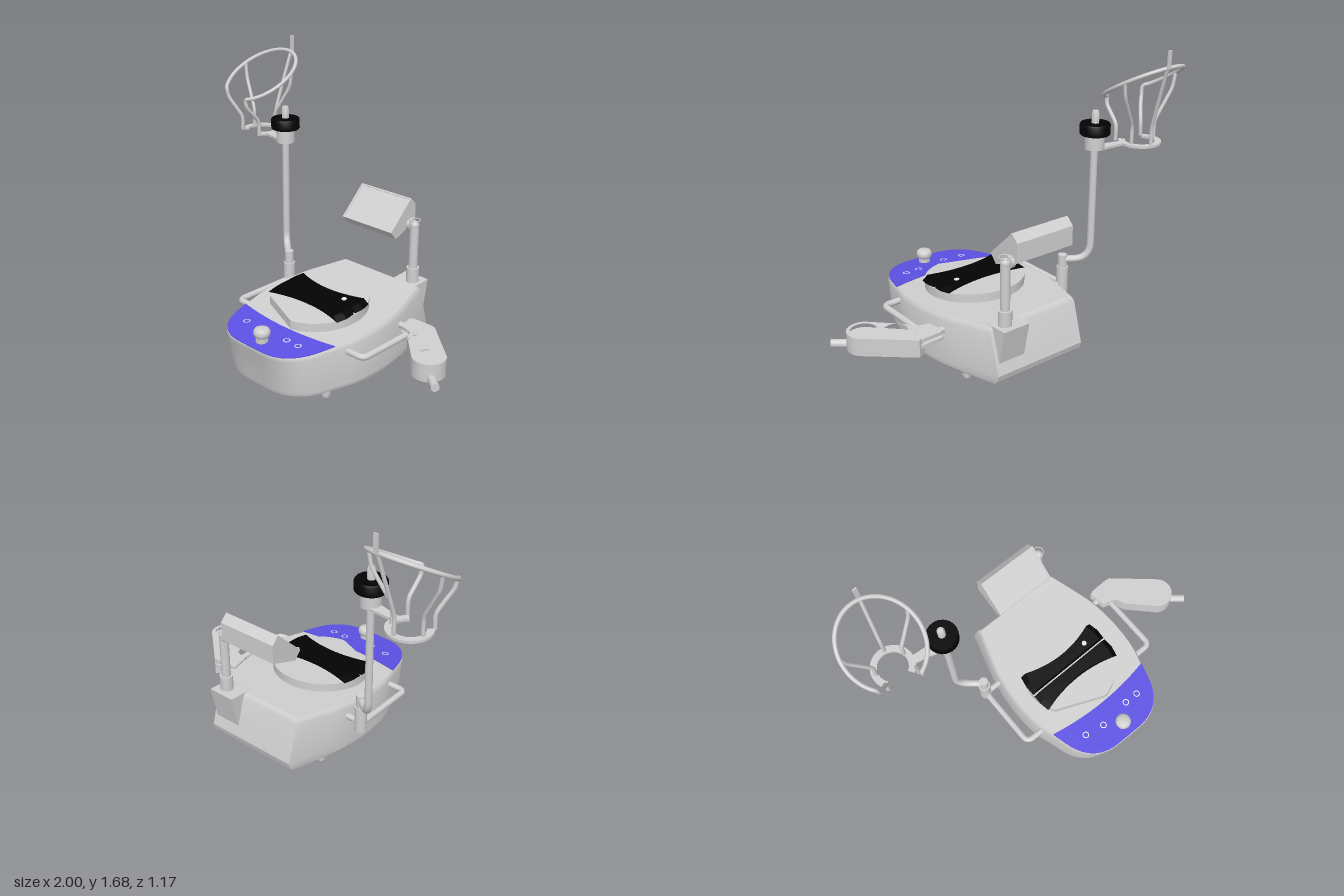
import * as THREE from 'three';
import { toCreasedNormals } from 'three/addons/utils/BufferGeometryUtils.js';

const mat = (name, color) => Object.assign(new THREE.MeshStandardMaterial({ color }), { name });
const V = (x, y, z) => new THREE.Vector3(x, y, z);
const CX = 0.11; // centre line of the body
const deckY = z => 0.354 - 0.075 * z; // sloping top deck

export function createModel() {
  const grey = mat('satin grey', 0xd0d0d0);
  const black = mat('rubber black', 0x030303);
  const purple = mat('panel purple', 0x5c51e4);
  const pale = mat('indicator white', 0xffffff);
  const root = new THREE.Group();
  root.name = 'balanceTrainer';

  const add = (name, geo, m = grey, parent = root) => {
    const mesh = new THREE.Mesh(geo, m);
    mesh.name = name;
    parent.add(mesh);
    return mesh;
  };
  const group = name => {
    const g = new THREE.Group();
    g.name = name;
    root.add(g);
    return g;
  };
  const cyl = (r, y0, y1, x, z) =>
    new THREE.CylinderGeometry(r, r, y1 - y0, 28).translate(x, (y0 + y1) / 2, z);
  const lathe = (profile, x, y, z) => toCreasedNormals(new THREE.LatheGeometry(
    profile.map(p => new THREE.Vector2(p[0], p[1])), 28), 0.7).translate(x, y, z);
  // Plate from an [x, z] outline, standing on height y
  const slab = (pts, y, h, holes = []) => {
    const s = new THREE.Shape(pts.map(p => new THREE.Vector2(p[0], -p[1])));
    for (const [x, z, r] of holes) s.holes.push(new THREE.Path().absarc(x, -z, r, 0, Math.PI * 2, true));
    const g = new THREE.ExtrudeGeometry(s, { depth: h, bevelEnabled: false, curveSegments: 24 });
    return toCreasedNormals(g.rotateX(-Math.PI / 2).translate(0, y, 0), 0.5);
  };
  // Shear a flat part so that it lies on the sloping deck
  const onDeck = g => {
    g.applyMatrix4(new THREE.Matrix4().set(1, 0, 0, 0, 0, 1, -0.075, 0.354, 0, 0, 1, 0, 0, 0, 0, 1));
    return g;
  };
  const arc = (cx, cz, r, a, b, n = 40) => Array.from({ length: n + 1 }, (_, i) => {
    const t = a + (b - a) * i / n;
    return [cx + r * Math.cos(t), cz + r * Math.sin(t)];
  });
  // Tube along straight runs with rounded corners
  const pipe = (pts, r, bend, seg = 48) => {
    const path = new THREE.CurvePath();
    let from = pts[0];
    for (let i = 1; i < pts.length - 1; i++) {
      const p = pts[i];
      const a = p.clone().add(pts[i - 1].clone().sub(p).setLength(bend));
      const b = p.clone().add(pts[i + 1].clone().sub(p).setLength(bend));
      path.add(new THREE.LineCurve3(from, a));
      path.add(new THREE.QuadraticBezierCurve3(a, p, b));
      from = b;
    }
    path.add(new THREE.LineCurve3(from, pts[pts.length - 1]));
    return new THREE.TubeGeometry(path, seg, r, 12);
  };

  // Body: one plan outline lofted through levels with leaning front and back
  const half = new THREE.CatmullRomCurve3([
    [0.29, -0.56], [0.335, -0.4], [0.38, -0.22], [0.4, 0], [0.387, 0.18], [0.355, 0.3],
    [0.305, 0.455], [0.24, 0.535], [0.15, 0.577], [0, 0.585]].map(p => V(p[0], 0, p[1]))).getPoints(36);
  const outline = [...half.map(p => [p.x, p.z]), ...half.slice(0, -1).reverse().map(p => [-p.x, p.z])];
  const N = outline.length;
  const levels = [ // front z, back z, height share, inset
    [0.535, 0.5, 0, 0.004], [0.537, 0.53, 0.03, 0], [0.54, 0.552, 0.09, 0], [0.545, 0.562, 0.2, 0],
    [0.58, 0.497, 0.9, 0], [0.585, 0.487, 0.96, 0.006], [0.585, 0.475, 1, 0.014]];
  const pos = [], idx = [];
  for (const [f, b, t, inset] of levels) for (const [x, z] of outline) {
    const zz = z > 0 ? z / 0.585 * f : z / 0.56 * b;
    pos.push(CX + x * (1 - inset / 0.4), 0.07 + (deckY(zz) - 0.07) * t, zz);
  }
  for (let k = 0; k < levels.length - 1; k++) for (let i = 0; i < N; i++) {
    const a = k * N + i, b = k * N + (i + 1) % N;
    idx.push(a, a + N, b, b, a + N, b + N);
  }
  const topStart = (levels.length - 1) * N, low = pos.length / 3;
  pos.push(CX, 0.07, 0, CX, deckY(0), 0);
  for (let i = 0; i < N; i++) {
    const j = (i + 1) % N;
    idx.push(low, i, j, low + 1, topStart + j, topStart + i);
  }
  const body = new THREE.BufferGeometry();
  body.setAttribute('position', new THREE.Float32BufferAttribute(pos, 3));
  body.setIndex(idx);
  add('body', toCreasedNormals(body, 0.5));

  // Feet
  for (const x of [-0.19, 0.41]) for (const z of [0.31, -0.305])
    add('foot', lathe([[0, 0], [0.012, 0.003], [0.022, 0.014], [0.025, 0.03], [0.025, 0.08]], x, 0.003, z));

  // Control panel, indicators and knob
  const panelFront = outline.filter(p => p[1] > 0.295).map(p => [CX + p[0] * 0.98, p[1] * 0.993]);
  const panelBack = new THREE.QuadraticBezierCurve(new THREE.Vector2(-0.237, 0.295),
    new THREE.Vector2(CX, 0.365), new THREE.Vector2(0.457, 0.295)).getPoints(20).map(p => [p.x, p.y]);
  add('controlPanel', onDeck(slab([...panelFront, ...panelBack], 0, 0.005)), purple);
  for (const [x, z] of [[-0.09, 0.42], [0.03, 0.44], [0.225, 0.42], [0.31, 0.42]])
    add('indicatorRing', onDeck(new THREE.RingGeometry(0.014, 0.02, 28)
      .rotateX(-Math.PI / 2).translate(x, 0.0075, z)), pale);
  add('controlKnob', lathe([[0.034, 0], [0.034, 0.035], [0.043, 0.043], [0.046, 0.055], [0.045, 0.07], [0.038, 0.081],
    [0.025, 0.086], [0, 0.088]], 0.125, 0.313, 0.505));

  // Turntable with its cut edge
  add('turntable', onDeck(slab(arc(0.095, 0.04, 0.283, 2.544, 1.372 + Math.PI * 2, 64), 0, 0.05)));

  // Waisted foot pads with sloping ends
  const pad = (outer, waist, inner) => {
    const edge = new THREE.QuadraticBezierCurve(new THREE.Vector2(-0.175, outer),
      new THREE.Vector2(0.095, waist), new THREE.Vector2(0.36, outer)).getPoints(16).map(p => [p.x, p.y]);
    const mid = (outer + inner) / 2;
    const g = slab([...edge, [0.374, mid], [0.37, inner], [-0.186, inner + 0.008], [-0.186, mid]], 0.05, 0.027);
    const p = g.attributes.position;
    for (let i = 0; i < p.count; i++) if (p.getY(i) > 0.06) {
      p.setX(i, 0.095 + (p.getX(i) - 0.095) * 0.88);
      p.setZ(i, mid + (p.getZ(i) - mid) * 0.93);
    }
    g.computeVertexNormals();
    return onDeck(g);
  };
  add('rearFootPad', pad(-0.08, 0.015, 0.04), black);
  add('frontFootPad', pad(0.175, 0.085, 0.051), black);
  add('padButton', onDeck(cyl(0.015, 0.07, 0.081, 0.25, 0.0)), pale);

  // Side handles
  for (const [inX, outX, z0] of [[-0.26, -0.375, -0.175], [0.46, 0.592, -0.2]])
    add('sideHandle', pipe([V(inX, 0.287, z0), V(outX, 0.287, z0), V(outX, 0.287, 0.222), V(inX, 0.287, 0.222)], 0.018, 0.04));

  // Cup tray with two recesses
  const tray = group('cupTray');
  const end = arc(0.85, 0.005, 0.092, -0.927, 2.214, 24);
  const trayShape = [[0.63, -0.235], [0.68, -0.265], ...end, [0.647, -0.07], [0.62, -0.13]];
  add('trayRim', slab(trayShape, 0.285, 0.032, [[0.85, 0.005, 0.072], [0.715, -0.095, 0.064]]), grey, tray);
  add('trayBody', slab(trayShape, 0.215, 0.07), grey, tray);
  const clampShape = [[0.52, -0.25], [0.545, -0.262], [0.67, -0.266], [0.645, -0.13], [0.62, -0.125], [0.54, -0.15]];
  for (const y of [0.262, 0.298]) add('trayClamp', slab(clampShape, y, 0.02), grey, tray);
  const grip = add('trayGrip', new THREE.CylinderGeometry(0.023, 0.023, 0.14, 20), grey, tray);
  grip.position.set(0.93, 0.235, 0.075);
  grip.quaternion.setFromUnitVectors(V(0, 1, 0), V(0.77, 0, 0.64).normalize());

  // Tall left post
  const post = group('basketPost');
  add('postClamp', cyl(0.034, 0.245, 0.4, -0.372, -0.185), grey, post);
  add('postSocket', cyl(0.026, 0.4, 0.475, -0.372, -0.185), grey, post);
  add('postTube', pipe([V(-0.372, 0.445, -0.185), V(-0.495, 0.45, -0.283), V(-0.495, 1.15, -0.283)], 0.021, 0.1), grey, post);
  add('postCollar', cyl(0.055, 1.118, 1.2, -0.495, -0.283), grey, post);
  add('clampKnob', lathe([[0, 0], [0.08, 0], [0.085, 0.006], [0.085, 0.058], [0.08, 0.065], [0, 0.065]], -0.495, 1.2, -0.283), black, post);
  add('postTip', lathe([[0.021, 0], [0.021, 0.06], [0.015, 0.073], [0, 0.078]], -0.495, 1.262, -0.283), grey, post);

  // Wire basket: open base ring, slanting hoop and bent wires
  const basket = group('wireBasket');
  const bx = -0.778, bz = -0.355, full = Math.PI * 2;
  add('basketBase', slab([...arc(bx, bz, 0.12, 2.5, full + 0.95), ...arc(bx, bz, 0.083, full + 0.95, 2.5)], 1.115, 0.014), grey, basket);
  add('basketArm', slab([[-0.69, -0.37], [-0.66, -0.34], [-0.52, -0.33], [-0.5, -0.25], [-0.6, -0.28], [-0.69, -0.3]], 1.115, 0.014), grey, basket);
  const hoopY = z => 1.59 + 0.56 * (-0.575 - z);
  const hoop = arc(bx, bz, 0.212, 2.4, full + 1.2, 30).map(([x, z]) => V(x, hoopY(z), z));
  const hoopLine = new THREE.CatmullRomCurve3([
    V(-0.868, 1.12, -0.275), V(-0.868, 1.2, -0.272), V(-0.89, 1.26, -0.245), V(-0.922, 1.33, -0.215), ...hoop,
    V(-0.7, 1.31, -0.163), V(-0.697, 1.265, -0.2), V(-0.693, 1.21, -0.245), V(-0.692, 1.12, -0.25)]);
  add('hoop', new THREE.TubeGeometry(hoopLine, 140, 0.0115, 10), grey, basket);
  for (const [tx, tz, fx, fz, k] of [[-0.978, -0.41, -0.868, -0.375, 0.12],
    [-0.732, -0.565, -0.76, -0.455, 0.5], [-0.573, -0.415, -0.69, -0.375, 0.12]]) {
    const knee = V(tx + (fx - tx) * k, 1.41, tz + (fz - tz) * k);
    add('basketWire', pipe([V(tx, hoopY(tz), tz), knee, V(fx, 1.23, fz), V(fx, 1.12, fz)], 0.0105, 0.03, 32), grey, basket);
  }
  add('basketTip', new THREE.BoxGeometry(0.025, 0.1, 0.008).translate(-0.732, 1.632, -0.574), grey, basket);

  // Display bracket flaring out of the back
  const prism = (profile, x0, w) => { // profile as [z, y], extruded along x
    const s = new THREE.Shape(profile.map(p => new THREE.Vector2(-p[0], p[1])));
    return new THREE.ExtrudeGeometry(s, { depth: w, bevelEnabled: false }).rotateY(Math.PI / 2).translate(x0, 0, 0);
  };
  add('displayBracket', prism([[-0.43, 0.38], [-0.45, 0.39], [-0.585, 0.397], [-0.545, 0.2], [-0.45, 0.2]], 0.215, 0.165));
  add('displaySocket', cyl(0.037, 0.385, 0.48, 0.32, -0.515));
  add('displayPost', cyl(0.026, 0.48, 0.745, 0.32, -0.515));
  add('displayJoint', new THREE.SphereGeometry(0.027, 24, 16).translate(0.32, 0.742, -0.515));
  add('displayCap', new THREE.TorusGeometry(0.032, 0.003, 6, 28).rotateX(Math.PI / 2).translate(0.32, 0.774, -0.515));
  add('displayArm', new THREE.CylinderGeometry(0.034, 0.034, 0.025, 24).rotateZ(Math.PI / 2).translate(0.292, 0.742, -0.515));

  // Tilted display with a raised rim round the screen
  const display = group('display');
  add('displayCase', prism([[-0.353, 0.728], [-0.522, 0.893], [-0.563, 0.853], [-0.563, 0.745], [-0.393, 0.682]], -0.088, 0.372), grey, display);
  const rim = new THREE.Shape([[-0.186, -0.118], [0.186, -0.118], [0.186, 0.118], [-0.186, 0.118]].map(p => new THREE.Vector2(...p)));
  rim.holes.push(new THREE.Path([[-0.176, -0.108], [-0.176, 0.108], [0.176, 0.108], [0.176, -0.108]].map(p => new THREE.Vector2(...p))));
  const frame = add('screenRim', new THREE.ExtrudeGeometry(rim, { depth: 0.004, bevelEnabled: false }), grey, display);
  frame.position.set(0.098, 0.8105, -0.4375);
  frame.rotation.x = -Math.atan2(0.169, 0.165);
  return root;
}
